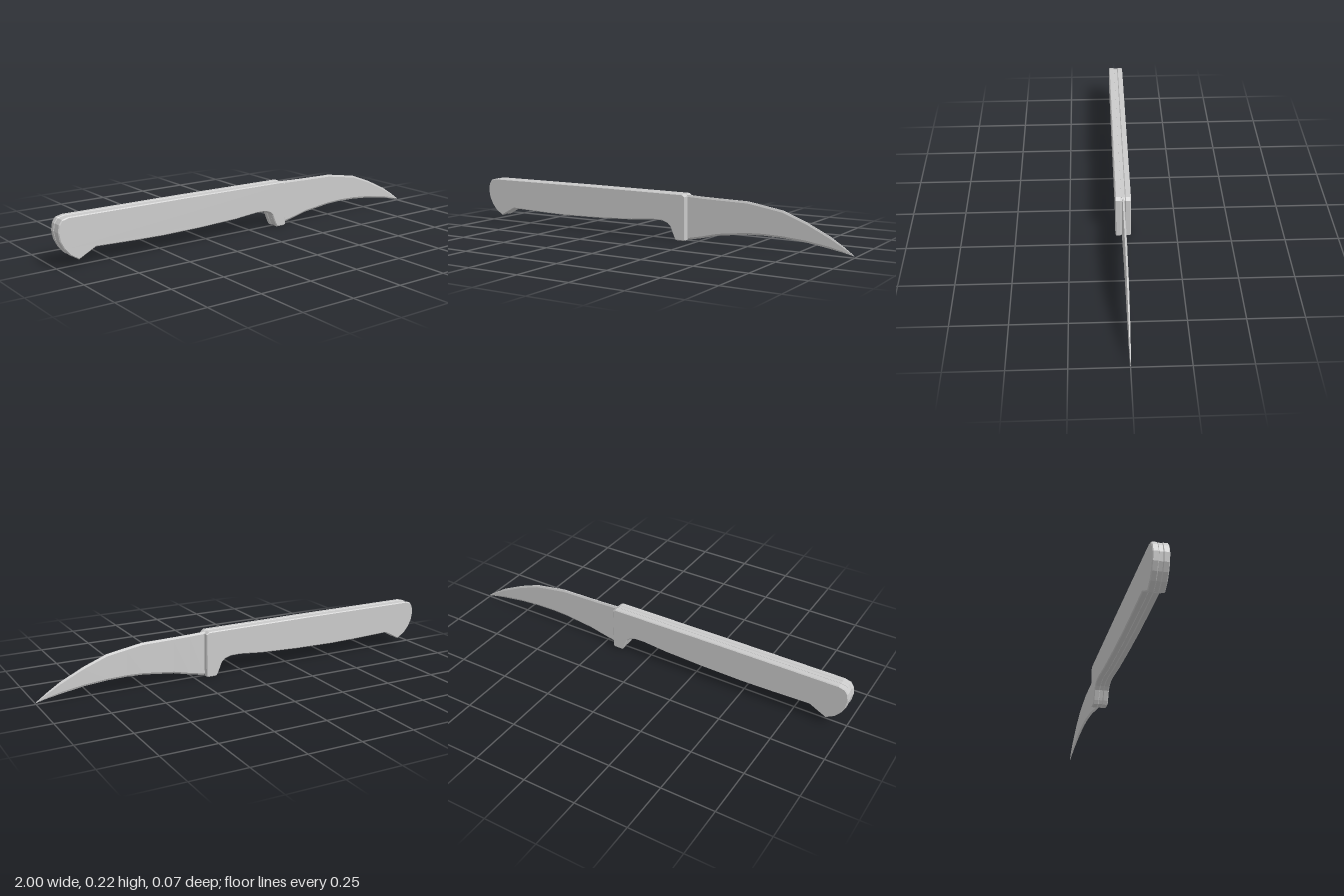
import * as THREE from 'three';

const material = new THREE.MeshStandardMaterial({ color: 0xcccccc, flatShading: true });

// Handle outline, clockwise from the upper front corner
const outline = [
  [0.18, 0.221], [0.195, 0.21], [0.195, 0.006], [0.185, 0.003], [0.145, 0.003], [0.135, 0.02],
  [0.116, 0.065], [0.1, 0.08], [0.07, 0.09], [0.02, 0.091], [-0.1, 0.08], [-0.3, 0.072],
  [-0.5, 0.069], [-0.65, 0.072], [-0.83, 0.078], [-0.91, 0.036], [-0.95, 0.06], [-0.975, 0.09],
  [-0.993, 0.125], [-1, 0.165], [-0.994, 0.198], [-0.98, 0.218], [-0.95, 0.226], [-0.36, 0.225],
];

// Slab cut from the handle outline, inset by a margin, with chamfered rims
function slab(name, z0, z1, bevel, inset) {
  const shape = new THREE.Shape(outline.map(([x, y]) => new THREE.Vector2(x, y)));
  const geometry = new THREE.ExtrudeGeometry(shape, {
    depth: z1 - z0 - 2 * bevel,
    bevelEnabled: true,
    bevelThickness: bevel,
    bevelSize: 0.004,
    bevelOffset: -0.004 - inset,
    bevelSegments: 1,
  });
  geometry.translate(0, 0, z0 + bevel);
  const mesh = new THREE.Mesh(geometry, material);
  mesh.name = name;
  return mesh;
}

// Blade lofted through stations of [x, edge y, spine y, half thickness]
function blade() {
  const stations = [
    [0.15, 0.006, 0.217, 0.0065], [0.2, 0.006, 0.216, 0.0065], [0.27, 0.02, 0.213, 0.0065],
    [0.35, 0.039, 0.211, 0.0065], [0.5, 0.057, 0.208, 0.0065], [0.58, 0.06, 0.195, 0.0062],
    [0.67, 0.058, 0.18, 0.006], [0.78, 0.049, 0.138, 0.0055], [0.89, 0.032, 0.085, 0.0045],
    [0.95, 0.021, 0.047, 0.003], [1, 0.01, 0.012, 0.0005],
  ];
  const positions = [];
  for (const [x, low, high, t] of stations) {
    const rim = Math.min(0.009, (high - low) * 0.2);
    const ring = [
      [low, 0.0008], [low + rim, t], [high - rim, t], [high, t * 0.4],
      [high, -t * 0.4], [high - rim, -t], [low + rim, -t], [low, -0.0008],
    ];
    for (const [y, z] of ring) positions.push(x, y, z);
  }
  const n = 8, last = (stations.length - 1) * n, index = [];
  for (let s = 0; s < last; s += n) {
    for (let k = 0; k < n; k++) {
      const a = s + k, b = s + (k + 1) % n;
      index.push(a, a + n, b, b, a + n, b + n);
    }
  }
  for (let k = 1; k < n - 1; k++) {
    index.push(0, k, k + 1, last, last + k + 1, last + k);
  }
  const geometry = new THREE.BufferGeometry();
  geometry.setAttribute('position', new THREE.Float32BufferAttribute(positions, 3));
  geometry.setIndex(index);
  geometry.computeVertexNormals();
  const mesh = new THREE.Mesh(geometry, material);
  mesh.name = 'blade';
  return mesh;
}

export function createModel() {
  const knife = new THREE.Group();
  knife.name = 'paringKnife';
  knife.add(
    slab('leftHandleScale', 0.008, 0.036, 0.004, 0),
    slab('rightHandleScale', -0.036, -0.008, 0.004, 0),
    slab('tang', -0.0085, 0.0085, 0.0002, 0.002),
    blade(),
  );
  return knife;
}
